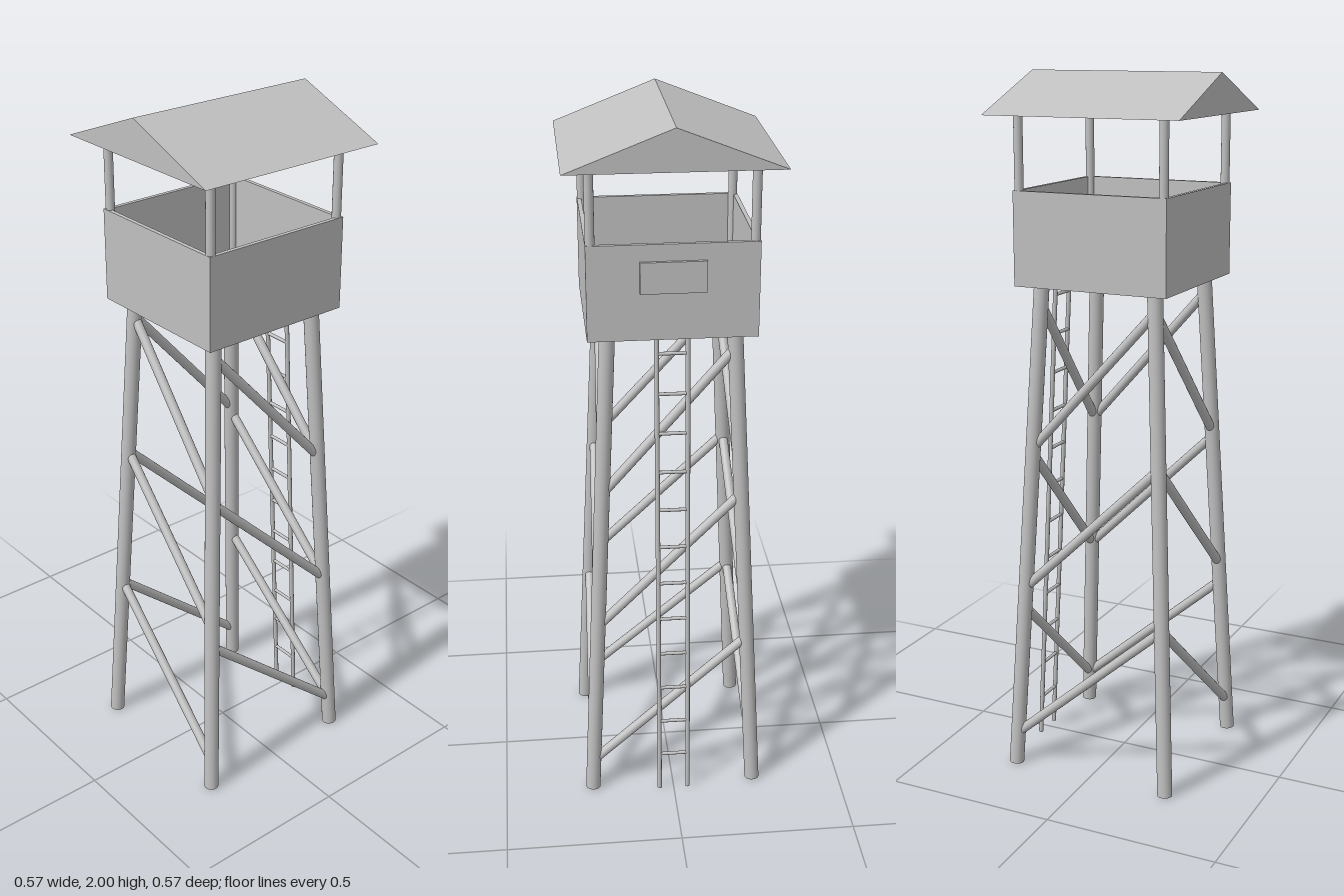
import * as THREE from 'three';

export function createModel() {
  const model = new THREE.Group();
  const grey = new THREE.MeshStandardMaterial({ color: 0xc0c0c0 });
  grey.name = 'plain grey';

  function add(name, geometry, x = 0, y = 0, z = 0) {
    const mesh = new THREE.Mesh(geometry, grey);
    mesh.name = name;
    mesh.position.set(x, y, z);
    model.add(mesh);
    return mesh;
  }
  // Round bar between two points
  function bar(name, a, b, radius, sides = 16) {
    const dir = b.clone().sub(a);
    const mesh = add(name, new THREE.CylinderGeometry(radius, radius, dir.length(), sides));
    mesh.position.copy(a).add(b).multiplyScalar(0.5);
    mesh.quaternion.setFromUnitVectors(new THREE.Vector3(0, 1, 0), dir.normalize());
  }
  const v = (x, y, z) => new THREE.Vector3(x, y, z);

  // Splayed legs: distance of the leg axis from the centre at height y
  const floorY = 1.43, wallTop = 1.69, eaveY = 1.89, half = 0.226;
  const spread = (y) => 0.241 - 0.049 * y;
  const onLeg = (sx, sz, y) => v(sx * spread(y), y, sz * spread(y));
  for (const sx of [-1, 1]) for (const sz of [-1, 1]) {
    bar('leg', onLeg(sx, sz, 0.002), onLeg(sx, sz, floorY + 0.005), 0.0215, 24);
    // Roof post in each cabin corner
    bar('roofPost', v(sx * 0.213, floorY, sz * 0.213), v(sx * 0.213, eaveY, sz * 0.213), 0.0125);
  }

  // Diagonal braces, three on each side of the tower
  for (const [high, low] of [[1.38, 0.967], [0.95, 0.55], [0.49, 0.095]]) {
    for (const s of [-1, 1]) {
      bar('crossBrace', onLeg(-1, s, high), onLeg(1, s, low), 0.0135);
      bar('sideBrace', onLeg(s, 1, high), onLeg(s, -1, low), 0.0135);
    }
  }

  // Cabin floor and parapet walls
  const t = 0.012, wallH = wallTop - floorY, wallY = (wallTop + floorY) / 2;
  add('cabinFloor', new THREE.BoxGeometry(half * 2 - 0.002, 0.02, half * 2 - 0.002), 0, floorY + 0.01, 0);
  for (const s of [-1, 1]) {
    add('cabinWall', new THREE.BoxGeometry(half * 2, wallH, t), 0, wallY, s * (half - t / 2));
    add('cabinSideWall', new THREE.BoxGeometry(t, wallH, half * 2 - 2 * t), s * (half - t / 2), wallY, 0);
  }
  add('backPanel', new THREE.BoxGeometry(0.175, 0.085, 0.009), 0, 1.602, -half - 0.0045);

  // Solid gabled roof
  const gable = new THREE.Shape();
  gable.moveTo(-0.284, 0).lineTo(0.284, 0).lineTo(0, 2 - eaveY).closePath();
  add('roof', new THREE.ExtrudeGeometry(gable, { depth: 0.568, bevelEnabled: false }), 0, eaveY, -0.284);

  // Ladder leaning against the back
  const ladderZ = (y) => -0.267 + 0.05 * y;
  for (const s of [-1, 1]) {
    bar('ladderRail', v(s * 0.042, 0.001, ladderZ(0)), v(s * 0.042, floorY, ladderZ(floorY)), 0.0065, 12);
  }
  for (let i = 0; i < 12; i++) {
    const y = 0.12 + i * 0.1145;
    bar('ladderRung', v(-0.042, y, ladderZ(y)), v(0.042, y, ladderZ(y)), 0.005, 12);
  }
  return model;
}
